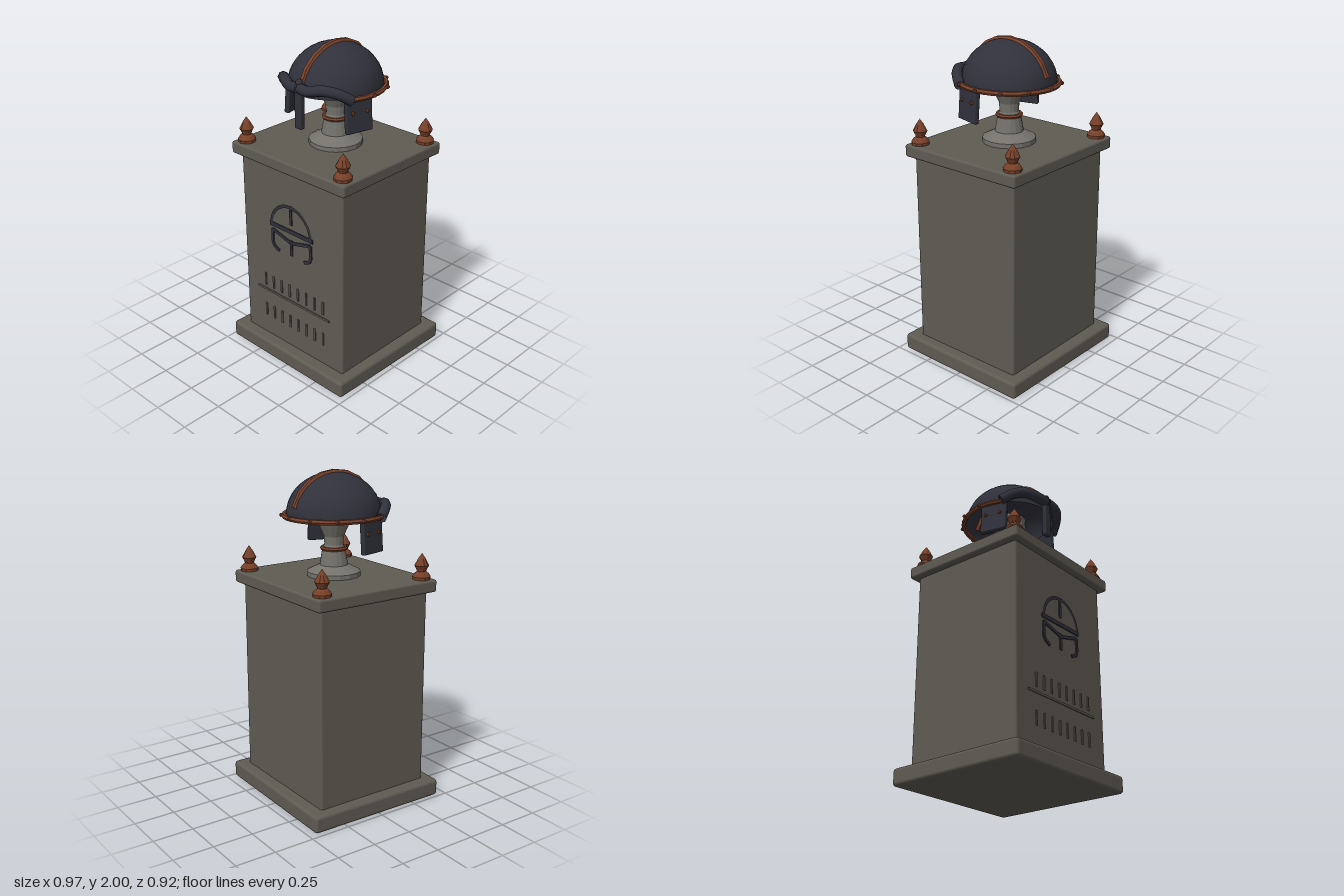
import * as THREE from 'three';
import { RoundedBoxGeometry } from 'three/addons/geometries/RoundedBoxGeometry.js';

const mat = (name, color, opts = {}) => {
  const m = new THREE.MeshStandardMaterial({ color, ...opts });
  m.name = name;
  return m;
};

export function createModel() {
  const stone = mat('stone', 0x5f5b53);
  const paleStone = mat('pale stone', 0x74726b, { flatShading: true });
  const steel = mat('dark steel', 0x30313b, { side: THREE.DoubleSide });
  const copper = mat('copper', 0x774029, { flatShading: true });

  const model = new THREE.Group();
  model.name = 'helmetMonument';
  const add = (name, geometry, material, x = 0, y = 0, z = 0, parent = model) => {
    const mesh = new THREE.Mesh(geometry, material);
    mesh.name = name;
    mesh.position.set(x, y, z);
    parent.add(mesh);
    return mesh;
  };
  const lathe = (points, sides) =>
    new THREE.LatheGeometry(points.map(p => new THREE.Vector2(...p)), sides);
  const tube = (points, segments, radius, sides) => new THREE.TubeGeometry(
    new THREE.CatmullRomCurve3(points.map(p => new THREE.Vector3(...p))), segments, radius, sides);

  // Pillar: plinth set a touch askew, shaft and cap
  add('plinth', new RoundedBoxGeometry(0.96, 0.105, 0.905, 2, 0.02), stone, 0, 0.0525).rotation.y = -0.0125;
  add('shaft', new RoundedBoxGeometry(0.82, 1.23, 0.755, 2, 0.012), stone, 0, 0.71);
  add('cap', new RoundedBoxGeometry(0.906, 0.075, 0.836, 2, 0.014), stone, 0, 1.3375);

  // Corner finials
  const finial = lathe([[0, 0], [0.052, 0], [0.054, 0.02], [0.042, 0.038], [0.027, 0.05],
    [0.03, 0.06], [0.043, 0.085], [0.022, 0.125], [0, 0.157]], 10);
  for (const x of [-0.387, 0.387])
    for (const z of [-0.352, 0.352]) add('finial', finial, copper, x, 1.372, z);

  // Stand carrying the helmet
  add('stand', lathe([[0, 1.37], [0.16, 1.37], [0.16, 1.402], [0.085, 1.44], [0.07, 1.53],
    [0.057, 1.56], [0.06, 1.61], [0.1, 1.7], [0.105, 1.76], [0, 1.8]], 16), paleStone);
  const collar = add('standCollar', new THREE.TorusGeometry(0.07, 0.012, 6, 16), copper, 0, 1.538);
  collar.rotation.x = Math.PI / 2;

  // Helmet bowl, open underneath
  const helmet = new THREE.Group();
  helmet.name = 'helmet';
  model.add(helmet);
  const dome = new THREE.SphereGeometry(1, 28, 10, 0, Math.PI * 2, 0, Math.PI / 2);
  dome.scale(0.272, 0.248, 0.285);
  add('bowl', dome, steel, 0, 1.735, 0, helmet);

  // Crest band from front to back
  const crest = [];
  for (let i = 0; i <= 6; i++) {
    const a = THREE.MathUtils.lerp(-1.33, 1.33, i / 6);
    crest.push([0, 1.735 + 0.245 * Math.cos(a), 0.279 * Math.sin(a)]);
  }
  add('crest', tube(crest, 8, 0.021, 6), copper, 0, 0, 0, helmet);

  // Rim runs round the sides and back, with studs
  const rim = new THREE.TorusGeometry(0.283, 0.015, 6, 24, Math.PI + 1.1);
  rim.rotateZ(-0.55).rotateX(-Math.PI / 2).scale(1, 1, 1.05);
  add('rim', rim, copper, 0, 1.736, 0, helmet);
  const stud = new THREE.SphereGeometry(0.012, 8, 6);
  for (let i = -1; i <= 7; i++) {
    const a = i * Math.PI / 6;
    add('rimStud', stud, copper, 0.298 * Math.cos(a), 1.738, -0.311 * Math.sin(a), helmet);
  }

  // Brow ridges, cheek guards and their rivets, mirrored
  for (const s of [-1, 1]) {
    const brow = [[0.005, 1.785, 0.295], [0.07, 1.782, 0.296], [0.15, 1.795, 0.26],
      [0.215, 1.778, 0.208], [0.262, 1.735, 0.145]].map(([x, y, z]) => [s * x, y, z]);
    add('browRidge', tube(brow, 14, 0.032, 8), steel, 0, 0, 0, helmet);
    const cheek = new THREE.Group();
    cheek.name = 'cheekGuard';
    cheek.position.set(s * 0.252, 1.637, 0.085);
    cheek.rotation.set(0, -s * 0.25, s * 0.07);
    helmet.add(cheek);
    add('cheekPlate', new RoundedBoxGeometry(0.032, 0.2, 0.17, 2, 0.007), steel, 0, 0, 0, cheek);
    for (const z of [-0.05, 0.045]) add('cheekRivet', stud, copper, s * 0.017, 0.018, z, cheek);
  }

  // Nose guard with a boss above it
  add('noseGuard', new RoundedBoxGeometry(0.052, 0.24, 0.034, 2, 0.008), steel, 0, 1.665, 0.293, helmet);
  add('browBoss', new THREE.SphereGeometry(0.022, 10, 8), steel, 0, 1.815, 0.292, helmet);

  // Relief on the front of the shaft
  const face = 0.3795;
  const bar = (name, material, [x1, y1], [x2, y2], width) => {
    const length = Math.hypot(x2 - x1, y2 - y1);
    const mesh = add(name, new THREE.BoxGeometry(length, width, 0.009), material,
      (x1 + x2) / 2, (y1 + y2) / 2, face);
    mesh.rotation.z = Math.atan2(y2 - y1, x2 - x1);
  };
  const emblemArc = add('emblemDome',
    new THREE.RingGeometry(0.153, 0.174, 24, 1, 0, Math.PI), steel, 0, 0.913, face + 0.0045);
  emblemArc.scale.y = 1.01;
  bar('emblemBrow', steel, [-0.177, 0.917], [0.177, 0.917], 0.026);
  bar('emblemCrest', steel, [0, 0.962], [0, 1.085], 0.018);
  bar('emblemNose', steel, [0, 0.757], [0, 0.86], 0.02);
  for (const s of [-1, 1]) {
    const outline = [[0.01, 0.843], [0.157, 0.882], [0.16, 0.8], [0.148, 0.772], [0.105, 0.752]]
      .map(([x, y]) => [s * x, y]);
    for (let i = 0; i < outline.length - 1; i++)
      bar('emblemCheek', steel, outline[i], outline[i + 1], 0.02);
  }

  // Dividing line and plain upright strokes above and below it
  bar('divider', stone, [-0.305, 0.43], [0.305, 0.43], 0.013);
  for (const y of [0.46, 0.24])
    for (let i = 0; i < 8; i++) {
      const x = -0.235 + i * 0.07;
      bar('stroke', stone, [x, y], [x, y + 0.085], 0.012);
    }

  return model;
}
